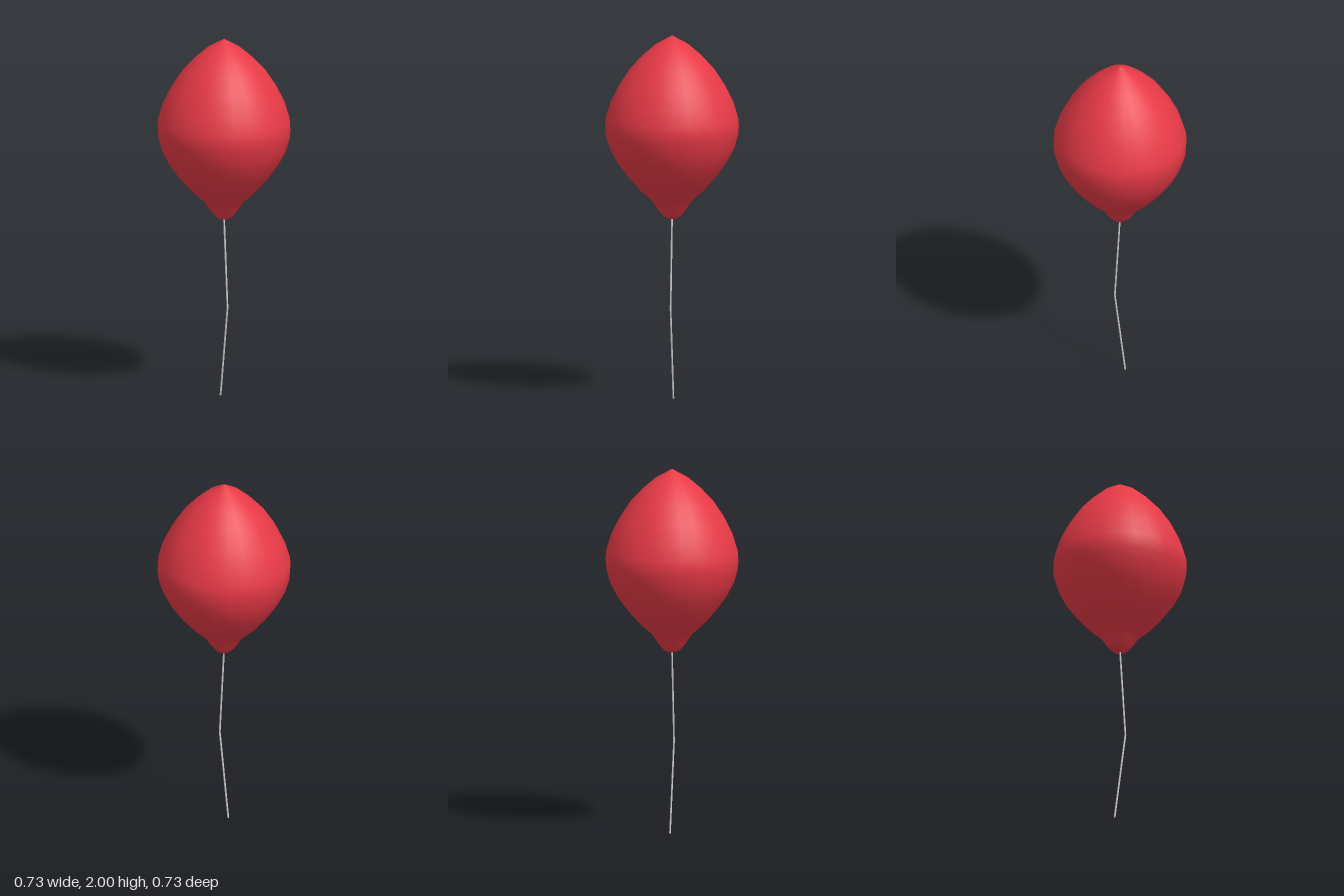
import * as THREE from 'three';

export function createModel() {
  const model = new THREE.Group();
  const red = new THREE.MeshStandardMaterial({ color: 0xe63946 });
  red.name = 'balloon red';
  const grey = new THREE.MeshStandardMaterial({ color: 0xcccccc });
  grey.name = 'string pale grey';

  // Balloon: teardrop profile from the knot up to the pointed crown
  const profile = [
    [0, 0.99], [0.03, 0.995], [0.05, 1.01], [0.075, 1.04], [0.107, 1.09],
    [0.18, 1.155], [0.246, 1.23], [0.3, 1.305], [0.339, 1.38], [0.36, 1.455],
    [0.363, 1.5], [0.36, 1.545], [0.333, 1.635], [0.286, 1.73], [0.226, 1.82],
    [0.16, 1.89], [0.09, 1.95], [0, 2],
  ].map(([r, y]) => new THREE.Vector2(r, y));
  const balloon = new THREE.Mesh(new THREE.LatheGeometry(profile, 24), red);
  balloon.name = 'balloon';
  model.add(balloon);

  // String: two straight lengths meeting at a slight kink
  const path = [[0, 1], [0.03, 0.5], [-0.03, 0]].map(([x, y]) => new THREE.Vector3(x, y, 0));
  const string = new THREE.Group();
  string.name = 'string';
  for (let i = 0; i < path.length - 1; i++) {
    const span = path[i].clone().sub(path[i + 1]);
    const length = new THREE.Mesh(new THREE.CylinderGeometry(0.005, 0.005, span.length(), 8), grey);
    length.name = i === 0 ? 'upperString' : 'lowerString';
    length.position.copy(path[i]).add(path[i + 1]).multiplyScalar(0.5);
    length.quaternion.setFromUnitVectors(new THREE.Vector3(0, 1, 0), span.normalize());
    string.add(length);
  }
  model.add(string);
  return model;
}
